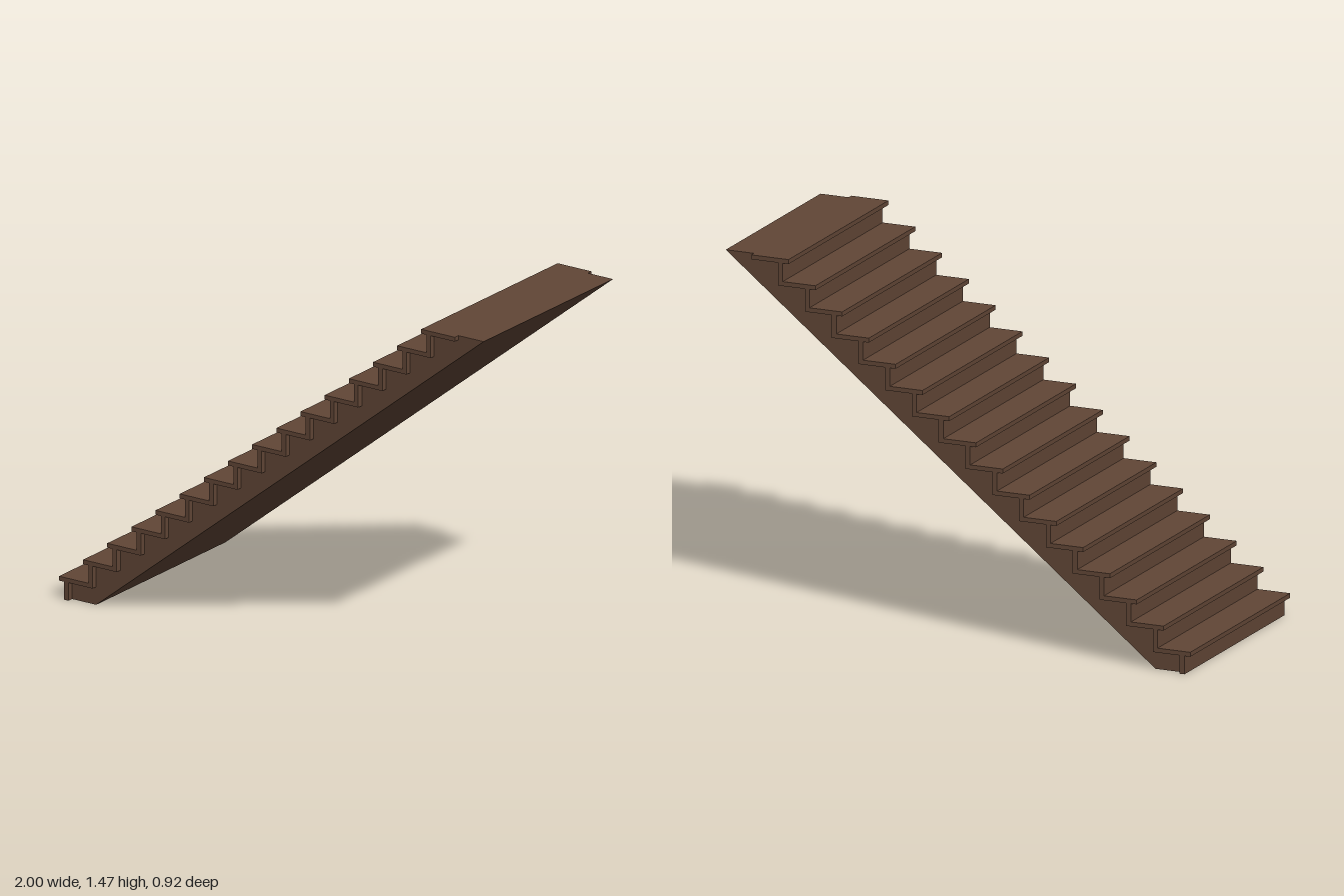
import * as THREE from 'three';

const STEPS = 16;
const RISE = 1.47 / STEPS;   // height of one step
const RUN = 1.72 / 15;       // going of one step
const THICK = 0.018;         // tread thickness
const BOARD = 0.02;          // riser thickness
const NOSE = 0.025;          // tread overhang
const WIDTH = 0.92;          // treads and risers
const BODY_WIDTH = 0.872;    // solid carriage

export function createModel() {
  const wood = new THREE.MeshStandardMaterial({ color: 0x614636 });
  wood.name = 'dark brown wood';
  const group = new THREE.Group();
  group.name = 'staircase';

  const board = (name, x0, x1, y0, y1) => {
    const mesh = new THREE.Mesh(new THREE.BoxGeometry(x1 - x0, y1 - y0, WIDTH), wood);
    mesh.position.set((x0 + x1) / 2, (y0 + y1) / 2, 0);
    mesh.name = name;
    group.add(mesh);
  };

  // Sawtooth carriage with a sloping underside
  const profile = new THREE.Shape();
  profile.moveTo(-0.84, 0);
  profile.lineTo(1, STEPS * RISE);
  const treadEnd = -1 + STEPS * RUN + NOSE + BOARD;
  profile.lineTo(treadEnd, STEPS * RISE);
  profile.lineTo(treadEnd, STEPS * RISE - THICK);
  for (let i = STEPS - 1; i >= 0; i--) {
    const x = -1 + i * RUN + NOSE + BOARD;
    profile.lineTo(x, (i + 1) * RISE - THICK);
    profile.lineTo(x, i === 0 ? 0 : i * RISE - THICK);
  }
  const geometry = new THREE.ExtrudeGeometry(profile, { depth: BODY_WIDTH, bevelEnabled: false });
  geometry.translate(0, 0, -BODY_WIDTH / 2);
  const carriage = new THREE.Mesh(geometry, wood);
  carriage.name = 'carriage';
  group.add(carriage);

  // One riser and one overhanging tread per step
  for (let i = 0; i < STEPS; i++) {
    const x = -1 + i * RUN;
    const top = (i + 1) * RISE;
    board('riser', x + NOSE, x + NOSE + BOARD, i * RISE, top - THICK);
    board('tread', x, x + RUN + NOSE + BOARD, top - THICK, top);
  }
  return group;
}
